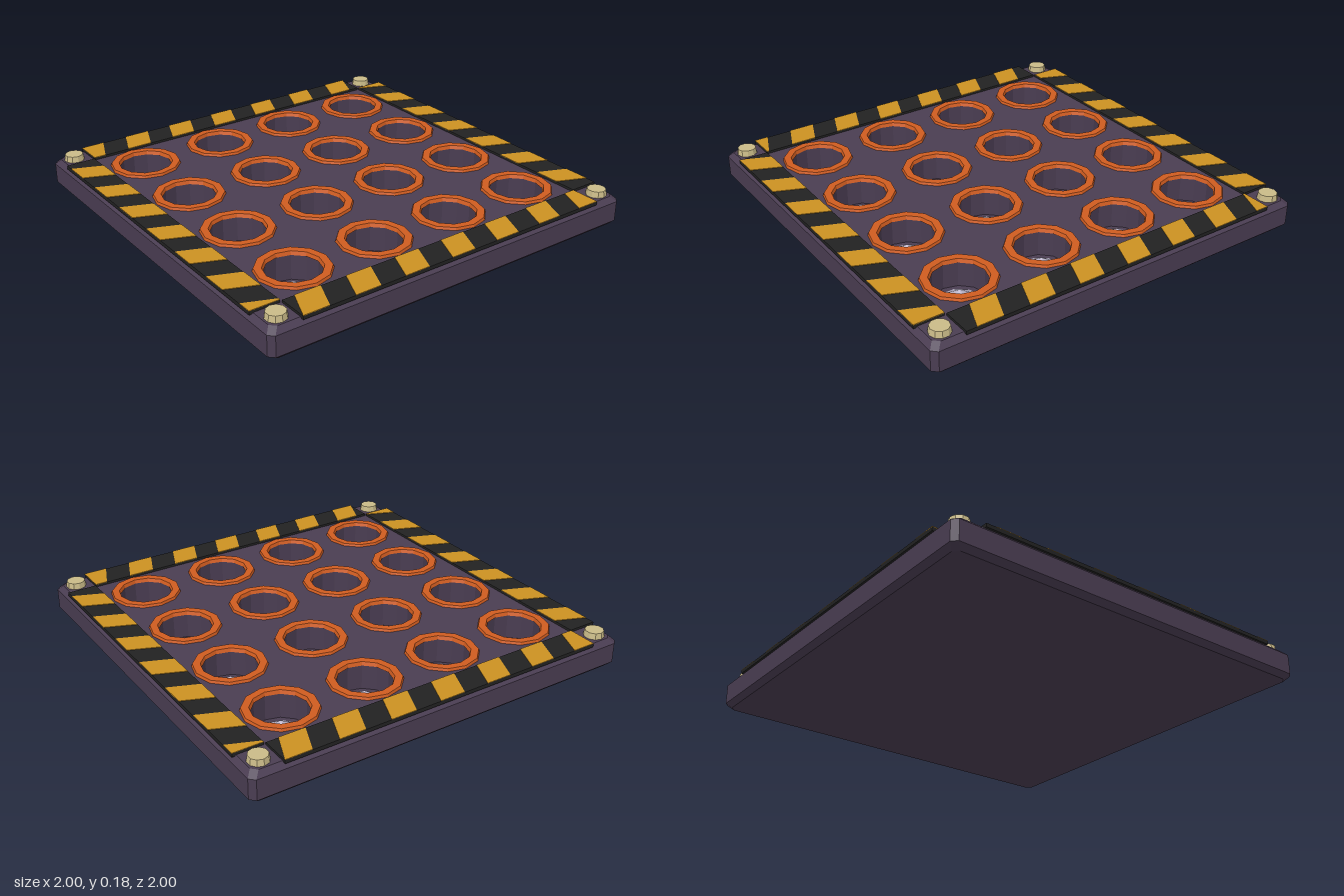
import * as THREE from 'three';

const mat = (name, color) => {
  const m = new THREE.MeshStandardMaterial({ color, flatShading: true });
  m.name = name;
  return m;
};

export function createModel() {
  const plum = mat('plum metal', 0x4a3d52);
  const black = mat('stripe black', 0x222222);
  const yellow = mat('stripe yellow', 0xcc9222);
  const orange = mat('ring orange', 0xcf5c20);
  const steel = mat('spike steel', 0xbdb6cc);
  const brass = mat('bolt brass', 0xcabb88);

  const root = new THREE.Group();
  root.name = 'spikeTrapPlate';
  const add = (parent, name, geo, material, x = 0, y = 0, z = 0) => {
    const m = new THREE.Mesh(geo, material);
    m.name = name;
    m.position.set(x, y, z);
    parent.add(m);
    return m;
  };

  const TOP = 0.15, BEVEL = 0.025, HOLE = 0.132;
  const grid = [-0.652, -0.217, 0.217, 0.652];

  // Square outline with cut corners, as [x, z] pairs
  const outline = (h) => {
    const c = h - BEVEL;
    return [[h, -c], [h, c], [c, h], [-c, h], [-h, c], [-h, -c], [-c, -h], [c, -h]];
  };

  // Bevelled outer shell lofted through four outlines, closed underneath
  const levels = [[0, 1 - BEVEL], [BEVEL, 1], [TOP - BEVEL, 1], [TOP, 1 - BEVEL]];
  const verts = [], index = [];
  levels.forEach(([y, h]) => outline(h).forEach(([x, z]) => verts.push(x, y, z)));
  for (let l = 0; l < 3; l++) {
    for (let i = 0; i < 8; i++) {
      const a = l * 8 + i, b = l * 8 + ((i + 1) % 8);
      index.push(a, a + 8, b, b, a + 8, b + 8);
    }
  }
  for (let i = 1; i < 7; i++) index.push(0, i, i + 1);
  const shell = new THREE.BufferGeometry();
  shell.setAttribute('position', new THREE.Float32BufferAttribute(verts, 3));
  shell.setIndex(index);
  const shellFlat = shell.toNonIndexed();
  shellFlat.computeVertexNormals();
  add(root, 'baseShell', shellFlat, plum);

  // Top slab pierced by the spike holes
  const slab = new THREE.Shape(outline(1 - BEVEL).map(([x, z]) => new THREE.Vector2(x, -z)));
  for (const x of grid) for (const z of grid) {
    const pts = [];
    for (let i = 0; i < 12; i++) {
      const a = (i / 12) * Math.PI * 2;
      pts.push(new THREE.Vector2(x + HOLE * Math.cos(a), z + HOLE * Math.sin(a)));
    }
    slab.holes.push(new THREE.Path(pts));
  }
  const slabGeo = new THREE.ExtrudeGeometry(slab, { depth: TOP - 0.02, bevelEnabled: false });
  slabGeo.rotateX(-Math.PI / 2);
  add(root, 'topSlab', slabGeo, plum, 0, 0.02, 0);
  add(root, 'pitFloor', new THREE.PlaneGeometry(1.8, 1.8).rotateX(-Math.PI / 2), plum, 0, 0.022, 0);

  // Ring and retracted spike for every hole
  const ringGeo = new THREE.LatheGeometry(
    [[0.176, TOP - 0.005], [0.17, 0.163], [0.134, 0.163], [0.128, TOP - 0.005]]
      .map(([r, y]) => new THREE.Vector2(r, y)), 12);
  const spikeGeo = new THREE.ConeGeometry(0.108, 0.07, 10);
  for (const x of grid) for (const z of grid) {
    add(root, 'holeRing', ringGeo, orange, x, 0, z);
    add(root, 'spike', spikeGeo, steel, x, 0.057, z);
  }

  // Hazard strip along the -z edge, turned to each side
  const HALF = 0.84, PERIOD = 0.26, OUT = 0.993, IN = 0.845;
  const clamp = (v) => Math.max(-HALF, Math.min(HALF, v));
  const hazardStrip = (angle, start) => {
    const g = new THREE.Group();
    g.name = 'hazardStrip';
    g.rotation.y = angle;
    add(g, 'stripBase', new THREE.BoxGeometry(HALF * 2, 0.018, OUT - IN), black,
      0, TOP + 0.003, -(OUT + IN) / 2);
    for (let x = start; x < HALF + 0.06; x += PERIOD) {
      // Slanted stripe: outer edge first, inner edge shifted towards -x
      const pts = [[x - 0.06, IN], [x + 0.07, IN], [x + 0.13, OUT], [x, OUT]]
        .map(([px, py]) => new THREE.Vector2(clamp(px), py));
      if (pts[1].x - pts[0].x + pts[2].x - pts[3].x < 0.01) continue;
      const geo = new THREE.ExtrudeGeometry(new THREE.Shape(pts), { depth: 0.003, bevelEnabled: false });
      add(g, 'yellowStripe', geo.rotateX(-Math.PI / 2), yellow, 0, TOP + 0.0115, 0);
    }
    root.add(g);
  };
  hazardStrip(0, -0.85);
  hazardStrip(Math.PI, -0.85);
  hazardStrip(Math.PI / 2, -0.9);
  hazardStrip(-Math.PI / 2, -0.9);

  // Corner bolts
  const boltGeo = new THREE.CylinderGeometry(0.045, 0.05, 0.032, 10);
  for (const x of [-0.918, 0.918]) for (const z of [-0.918, 0.918]) {
    add(root, 'cornerBolt', boltGeo, brass, x, TOP + 0.014, z);
  }
  return root;
}
